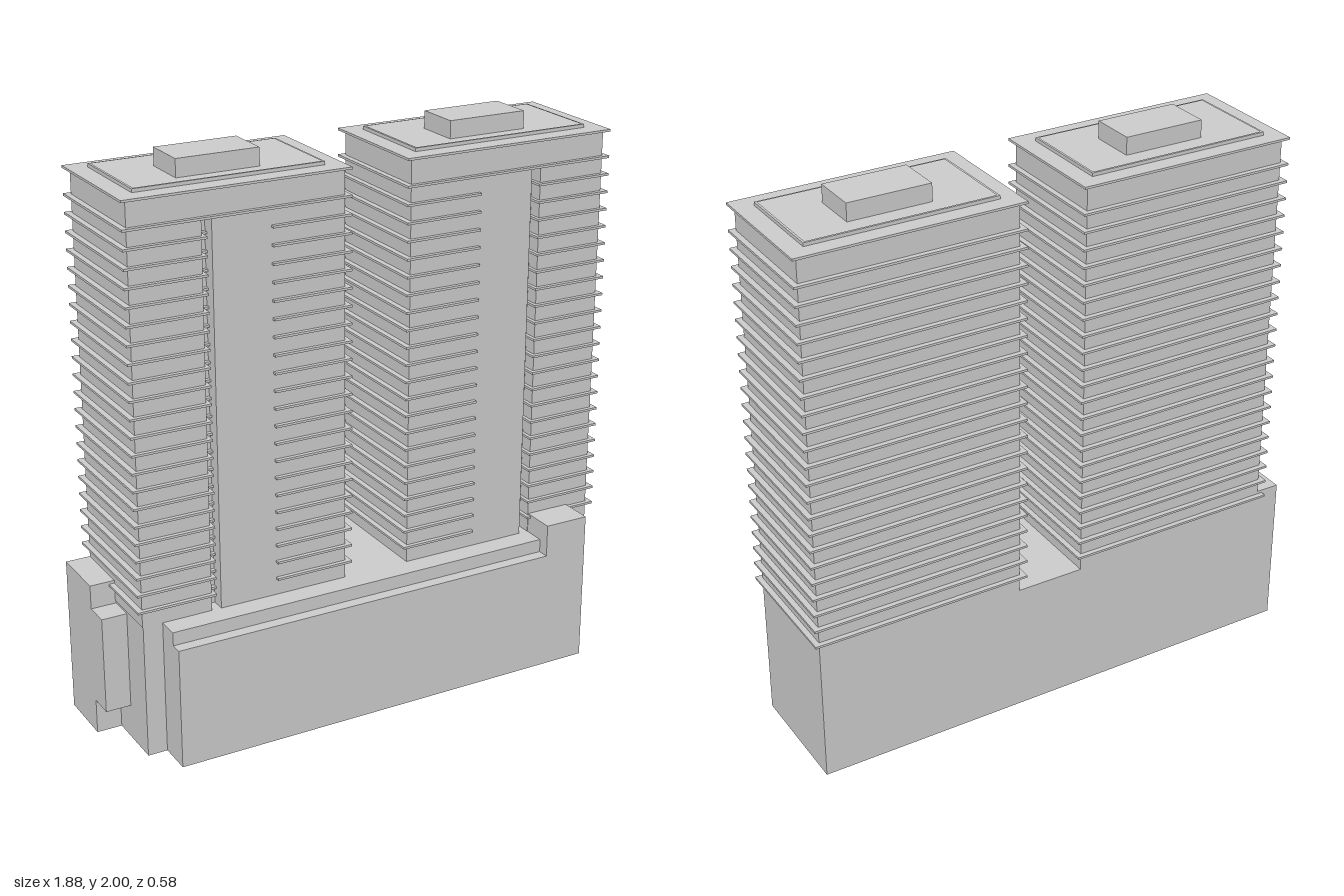
import * as THREE from 'three';

const BACK = -0.272, WALL = 0.165;

// Prism from an [x, z] outline between two heights
function prism(points, y0, y1, holePoints) {
  const toV = ([x, z]) => new THREE.Vector2(x, -z);
  const shape = new THREE.Shape(points.map(toV));
  if (holePoints) shape.holes.push(new THREE.Path(holePoints.map(toV)));
  const geo = new THREE.ExtrudeGeometry(shape, { depth: y1 - y0, bevelEnabled: false });
  return geo.rotateX(-Math.PI / 2).translate(0, y0, 0);
}

const rect = (x0, x1, z0, z1) => [[x0, z0], [x1, z0], [x1, z1], [x0, z1]];

// Removes the downward cap so the prism is open underneath
function openBottom(geo) {
  const p = geo.attributes.position, n = geo.attributes.normal;
  const pos = [], nor = [];
  for (let i = 0; i < p.count; i += 3) {
    if (n.getY(i) < -0.5) continue;
    for (let k = i; k < i + 3; k++) {
      pos.push(p.getX(k), p.getY(k), p.getZ(k));
      nor.push(n.getX(k), n.getY(k), n.getZ(k));
    }
  }
  const out = new THREE.BufferGeometry();
  out.setAttribute('position', new THREE.Float32BufferAttribute(pos, 3));
  out.setAttribute('normal', new THREE.Float32BufferAttribute(nor, 3));
  return out;
}

export function createModel() {
  const model = new THREE.Group();
  const grey = new THREE.MeshStandardMaterial({ color: 0xcccccc });
  const shellGrey = new THREE.MeshStandardMaterial({ color: 0xcccccc, side: THREE.DoubleSide });

  const add = (parent, name, geo, mat = grey) => {
    const mesh = new THREE.Mesh(geo, mat);
    mesh.name = name;
    parent.add(mesh);
  };

  // Podium: hollow lower shell, raised deck and corner volumes
  const podium = new THREE.Group();
  podium.name = 'podium';
  model.add(podium);
  add(podium, 'podiumShell', openBottom(prism([
    [-0.94, BACK], [0.915, BACK], [0.915, WALL], [0.83, WALL], [0.83, 0.288],
    [-0.78, 0.288], [-0.78, WALL], [-0.85, WALL], [-0.85, -0.06], [-0.94, -0.06],
  ], 0, 0.437)), shellGrey);
  add(podium, 'podiumDeck', prism([
    [-0.85, BACK], [0.915, BACK], [0.915, WALL], [0.665, WALL], [0.665, 0.245],
    [-0.78, 0.245], [-0.78, WALL], [-0.85, WALL],
  ], 0.437, 0.485));
  add(podium, 'cornerBlock', prism(rect(0.665, 0.83, WALL, 0.288), 0.437, 0.555));
  add(podium, 'sideAnnexTop', prism(rect(-0.94, -0.85, BACK, -0.06), 0.437, 0.56));
  add(podium, 'sideCanopy', prism(rect(-0.94, -0.85, -0.06, 0.03), 0.125, 0.475));

  // Towers: a mirrored pair, s flips the facade layout
  for (const [name, cx, s] of [['rightTower', -0.472, 1], ['leftTower', 0.535, -1]]) {
    const tower = new THREE.Group();
    tower.name = name;
    tower.position.x = cx;
    model.add(tower);
    const flip = (pts) => pts.map(([x, z]) => [x * s, z]);

    // Shaft with a narrow vertical slot beside the plain front panel
    add(tower, 'shaft', prism(flip([
      [-0.38, BACK], [0.38, BACK], [0.38, WALL], [-0.093, WALL],
      [-0.093, 0.115], [-0.128, 0.115], [-0.128, WALL], [-0.38, WALL],
    ]), 0.485, 1.84));
    add(tower, 'crown', prism(rect(-0.38, 0.38, BACK, WALL), 1.84, 1.93));

    // Floor ledges wrap round the shaft but skip the front panel
    const ledge = prism(flip([
      [-0.4, -0.29], [0.4, -0.29], [0.4, 0.18], [0.115, 0.18], [0.115, 0.15],
      [-0.093, 0.15], [-0.093, 0.13], [-0.115, 0.13], [-0.115, 0.18], [-0.4, 0.18],
    ]), -0.004, 0.004);
    for (let i = 0; i < 21; i++) {
      add(tower, 'floorLedge', ledge);
      tower.children.at(-1).position.y = 0.546 + i * 0.0617;
    }
    const fullSlab = rect(-0.4, 0.4, -0.29, 0.18);
    add(tower, 'crownLedge', prism(fullSlab, 1.838, 1.846));
    add(tower, 'roofSlab', prism(fullSlab, 1.93, 1.938));

    // Roof parapet frame and plant room
    add(tower, 'roofParapet', prism(rect(-0.335, 0.335, -0.23, 0.115), 1.938, 1.95,
      rect(-0.327, 0.327, -0.222, 0.107)));
    add(tower, 'plantRoom', prism(rect(-0.147, 0.147, -0.14, 0.027), 1.938, 2));
  }
  return model;
}
